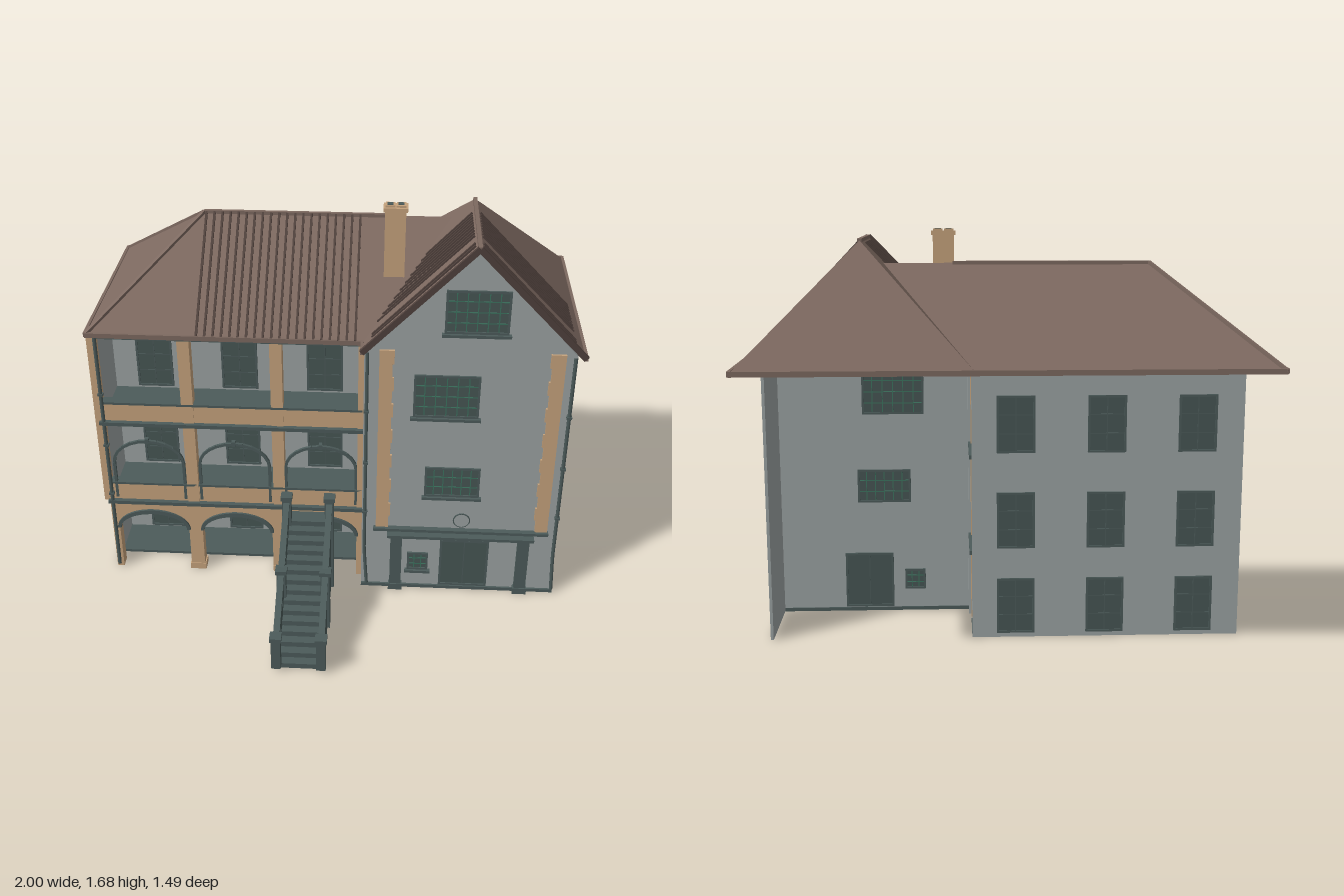
import * as THREE from 'three';

const mat = (name, color, side = THREE.FrontSide) => {
  const m = new THREE.MeshStandardMaterial({ color, side });
  m.name = name;
  return m;
};

export function createModel() {
  const root = new THREE.Group();
  root.name = 'house';
  const wall = mat('grey plaster', 0x9ca3a3);
  const tan = mat('tan stone', 0xc6a37d);
  const green = mat('dark green timber', 0x4c5b5a);
  const pane = mat('dark glass', 0x475654);
  const bar = mat('green glazing bar', 0x3d7460);
  const roofMat = mat('brown roof', 0x7d6960, THREE.DoubleSide);
  const ribMat = mat('dark brown rib', 0x4f413c);

  const add = (name, geo, m, parent = root) => {
    const mesh = new THREE.Mesh(geo, m);
    mesh.name = name;
    parent.add(mesh);
    return mesh;
  };
  // box given by its limits on each axis
  const box = (name, m, x0, x1, y0, y1, z0, z1, parent) => {
    const b = add(name, new THREE.BoxGeometry(x1 - x0, y1 - y0, z1 - z0), m, parent);
    b.position.set((x0 + x1) / 2, (y0 + y1) / 2, (z0 + z1) / 2);
    return b;
  };
  // straight bar between two points
  const beam = (name, m, a, b, w, h, parent) => {
    const A = new THREE.Vector3(...a), B = new THREE.Vector3(...b);
    const mesh = add(name, new THREE.BoxGeometry(w, h, A.distanceTo(B)), m, parent);
    mesh.position.copy(A).add(B).multiplyScalar(0.5);
    mesh.lookAt(B);
    return mesh;
  };
  const tube = (name, m, pts, r, parent) => {
    const path = new THREE.CurvePath();
    const v = pts.map(p => new THREE.Vector3(...p));
    for (let i = 1; i < v.length; i++) path.add(new THREE.LineCurve3(v[i - 1], v[i]));
    return add(name, new THREE.TubeGeometry(path, 24, r, 6), m, parent);
  };
  const polygon = pts => new THREE.Shape(pts.map(p => new THREE.Vector2(...p)));
  const extrude = (shape, depth) =>
    new THREE.ExtrudeGeometry(shape, { depth, bevelEnabled: false, curveSegments: 16 });
  const group = name => {
    const g = new THREE.Group();
    g.name = name;
    root.add(g);
    return g;
  };

  // framed window or door seen from both sides of a wall at depth z
  const windowAt = (name, x0, x1, y0, y1, z, cols, rows, barMat, sill) => {
    const g = group(name);
    const f = 0.009;
    box('pane', pane, x0, x1, y0, y1, z - 0.009, z + 0.009, g);
    for (const x of [x0, x1 - f]) box('frameSide', green, x, x + f, y0, y1, z - 0.014, z + 0.014, g);
    for (const y of [y0, y1 - f]) box('frameRail', green, x0, x1, y, y + f, z - 0.014, z + 0.014, g);
    for (let i = 1; i < cols; i++) {
      const x = x0 + (x1 - x0) * i / cols;
      box('glazingBar', barMat, x - 0.002, x + 0.002, y0 + f, y1 - f, z - 0.011, z + 0.011, g);
    }
    for (let i = 1; i < rows; i++) {
      const y = y0 + (y1 - y0) * i / rows;
      box('glazingBar', barMat, x0 + f, x1 - f, y - 0.002, y + 0.002, z - 0.011, z + 0.011, g);
    }
    if (sill) box('sill', green, x0 - 0.01, x1 + 0.01, y0 - 0.012, y0, z, z + 0.025, g);
  };

  // walls
  const gable = polygon([[0.13, 0], [0.965, 0], [0.965, 1.18], [0.555, 1.625], [0.13, 1.18]]);
  add('gableWall', extrude(gable, 0.012), wall).position.z = 0.154;
  box('rightWall', wall, 0.953, 0.965, 0, 1.2, -0.2, 0.155);
  box('leftWall', wall, -0.98, -0.968, 0, 1.18, -0.2, 0.06);
  box('backWall', wall, -0.98, 0.13, 0, 1.18, -0.2, -0.188);
  box('gableReturn', wall, 0.13, 0.14, 0, 1.18, 0.09, 0.155);
  box('wallFoot', green, 0.13, 0.97, 0, 0.015, 0.15, 0.175);

  // gable windows and door
  windowAt('atticWindow', 0.44, 0.69, 1.27, 1.455, 0.16, 6, 4, bar, true);
  windowAt('upperWindow', 0.33, 0.595, 0.885, 1.08, 0.16, 6, 4, bar, true);
  windowAt('middleWindow', 0.39, 0.62, 0.495, 0.64, 0.16, 6, 3, bar, true);
  windowAt('smallWindow', 0.33, 0.42, 0.1, 0.19, 0.16, 3, 3, bar, true);
  windowAt('entranceDoor', 0.47, 0.68, 0.02, 0.265, 0.16, 2, 1, green, false);

  // timber porch frame and corner stones on the gable
  for (const x of [0.255, 0.8]) {
    box('porchPost', green, x, x + 0.05, 0.02, 0.3, 0.165, 0.19);
    box('porchPostFoot', green, x - 0.005, x + 0.055, 0, 0.03, 0.165, 0.195);
  }
  box('porchBeam', green, 0.24, 0.865, 0.297, 0.31, 0.16, 0.215);
  box('porchLedge', green, 0.18, 0.925, 0.315, 0.328, 0.16, 0.19);
  for (const [x0, side] of [[0.19, 1], [0.86, -1]]) {
    const g = group('cornerStones');
    for (let i = 0; i < 14; i++) {
      const y = 0.328 + i * 0.0615, e = i % 2 ? 0 : 0.007;
      box('stone', tan, x0 + (side < 0 ? e : 0), x0 + 0.06 - (side > 0 ? e : 0), y, y + 0.0615, 0.165, 0.176, g);
    }
  }
  // round plaque
  add('plaqueRim', new THREE.TorusGeometry(0.034, 0.003, 6, 24), green).position.set(0.555, 0.37, 0.168);
  const disc = add('plaque', new THREE.CylinderGeometry(0.034, 0.034, 0.006, 24), wall);
  disc.rotation.x = Math.PI / 2;
  disc.position.set(0.555, 0.37, 0.167);

  // downpipes with brackets
  for (const [x, z, bend] of [[0.142, 0.172, 0.012], [0.956, 0.172, 0.008], [-0.962, 0.106, 0]]) {
    tube('downpipe', green, [[x, 1.18, z], [x, 0.2, z], [x + bend, 0.02, z + 0.004]], 0.008);
    for (const y of [0.4, 0.65, 0.9]) box('pipeBracket', green, x - 0.011, x + 0.011, y, y + 0.01, z - 0.01, z + 0.01);
  }

  // veranda: floors, arcade, parapets, pillars
  const bays = [-0.79, -0.42, -0.05];
  box('groundFloor', green, -0.975, 0.13, 0, 0.012, -0.19, 0.0);
  box('ceiling', green, -0.968, 0.13, 1.165, 1.18, -0.19, 0.105);
  const arcade = new THREE.Shape();
  arcade.moveTo(-0.975, 0);
  for (const x of bays) {
    arcade.lineTo(x - 0.155, 0);
    arcade.lineTo(x - 0.155, 0.22);
    arcade.absellipse(x, 0.22, 0.155, 0.09, Math.PI, 0, true);
    arcade.lineTo(x + 0.155, 0);
  }
  arcade.lineTo(0.13, 0);
  arcade.lineTo(0.13, 0.36);
  arcade.lineTo(-0.975, 0.36);
  arcade.closePath();
  add('arcade', extrude(arcade, 0.05), tan).position.z = 0.05;
  for (const y of [0.36, 0.763]) {
    box('balconyFloor', green, -0.98, 0.14, y - 0.006, y + 0.01, -0.19, 0.115);
    box('parapet', tan, -0.975, 0.13, y + 0.01, y + 0.09, 0.06, 0.095);
    box('parapetRail', green, -0.97, 0.125, y + 0.09, y + 0.1, 0.055, 0.1);
  }
  for (const x of [-0.605, -0.23]) {
    box('pillar', tan, x - 0.025, x + 0.025, 0.36, 1.17, 0.05, 0.1);
    box('pillarFoot', tan, x - 0.035, x + 0.035, 0, 0.03, 0.045, 0.103);
  }
  box('endPillar', tan, -0.998, -0.965, 0.365, 1.17, 0.05, 0.1);
  box('innerPillar', tan, 0.105, 0.13, 0.36, 1.17, 0.05, 0.1);

  for (const x of bays) {
    // arch trims
    const trim = new THREE.Shape();
    trim.absellipse(x, 0.22, 0.162, 0.1, 0, Math.PI, false);
    trim.absellipse(x, 0.22, 0.147, 0.08, Math.PI, 0, true);
    add('archTrim', extrude(trim, 0.02), green).position.z = 0.09;
    const pts = [[x - 0.15, 0.38, 0.09]];
    for (let i = 0; i <= 12; i++) {
      const a = Math.PI * (1 - i / 12);
      pts.push([x + 0.15 * Math.cos(a), 0.56 + 0.11 * Math.sin(a), 0.09]);
    }
    pts.push([x + 0.15, 0.38, 0.09]);
    const g = group('balconyArch');
    for (let i = 1; i < pts.length; i++) beam('archBar', green, pts[i - 1], pts[i], 0.012, 0.012, g);
    box('archKey', green, x - 0.008, x + 0.008, 0.662, 0.685, 0.08, 0.1, g);
    // three rows of doors and windows in the back wall
    for (const y of [0.02, 0.385, 0.785]) windowAt('rearWindow', x - 0.078, x + 0.078, y, y + 0.235, -0.194, 2, 3, green, false);
  }

  // outside stair; profiles are drawn in z and y, then turned
  const stair = group('stair');
  const side = (name, shape, x, depth) => {
    const m = add(name, extrude(shape, depth).rotateY(-Math.PI / 2), green, stair);
    m.position.x = x;
  };
  const n = 15, profile = [[0.12, 0], [0.71, 0]];
  for (let i = 0; i < n; i++) {
    const z = 0.71 - i * 0.037, y = (i + 1) * 0.0235;
    profile.push([z, y], [i === n - 1 ? 0.12 : z - 0.037, y]);
  }
  side('steps', polygon(profile), -0.015, 0.17);
  for (const x of [0.0, -0.18]) {
    const s = polygon([[0.165, 0], [0.72, 0], [0.72, 0.135], [0.18, 0.455], [0.165, 0.455]]);
    for (const [z, y] of [[0.64, 0.132], [0.545, 0.19], [0.375, 0.295], [0.28, 0.353]])
      s.holes.push(polygon([[z - 0.015, y - 0.004], [z + 0.015, y - 0.022], [z + 0.015, y + 0.004], [z - 0.015, y + 0.022]]));
    side('stairSide', s, x, 0.016);
  }
  for (const x of [-0.19, -0.008]) {
    beam('handrail', green, [x, 0.14, 0.72], [x, 0.455, 0.18], 0.026, 0.012, stair);
    for (const [z, y0, y1] of [[0.722, 0.02, 0.175], [0.455, 0.01, 0.3], [0.18, 0, 0.475]]) {
      box('stairPost', green, x - 0.019, x + 0.019, y0, y1, z - 0.018, z + 0.018, stair);
      box('postCap', green, x - 0.024, x + 0.024, y1 - 0.012, y1 + 0.006, z - 0.023, z + 0.023, stair);
    }
  }

  // roof planes
  const E = 1.19, M = 1.555, T = 1.64;
  const roof = group('roof');
  const plane = (name, ...p) => {
    const g = new THREE.BufferGeometry();
    const idx = p.length === 4 ? [0, 1, 2, 0, 2, 3] : [0, 1, 2];
    g.setAttribute('position', new THREE.Float32BufferAttribute(idx.flatMap(i => p[i]), 3));
    g.computeVertexNormals();
    add(name, g, roofMat, roof);
  };
  const fl = [-0.995, E, 0.12], bl = [-0.995, E, -0.74], rl = [-0.555, M, -0.31], rr = [0.465, M, -0.31];
  const fm = [0.12, E, 0.12], bm = [0.12, E, -0.74], br = [0.992, E, -0.74];
  const gl = [0.12, E, 0.2], gr = [0.992, E, 0.2], gf = [0.555, T, 0.2], gb = [0.555, T, -0.3];
  plane('mainFrontSlope', fl, fm, rr, rl);
  plane('mainLeftHip', bl, fl, rl);
  plane('mainBackSlope', bm, bl, rl, rr);
  plane('gableLeftSlope', bm, gl, gf, gb);
  plane('gableRightSlope', gr, br, gb, gf);
  plane('gableBackHip', br, bm, gb);

  // eaves, hips and ridges
  for (const [a, b] of [[fl, fm], [fl, bl], [bl, br], [gr, br], [gl, fm]]) beam('eave', roofMat, a, b, 0.012, 0.02, roof);
  for (const [a, b] of [[rl, [0.2, M, -0.31]], [fl, rl], [bl, rl], [gf, gb]]) beam('ridgeCap', roofMat, a, b, 0.016, 0.014, roof);
  for (const a of [gl, gr]) beam('bargeBoard', ribMat, a, gf, 0.014, 0.024, roof);
  box('gutter', ribMat, -0.99, 0.13, 1.178, 1.19, 0.1, 0.122, roof);

  // raised roof ribs
  for (let i = 0; i < 20; i++) {
    const x = -0.545 + i * 0.0335;
    beam('mainRib', ribMat, [x, M, -0.305], [x, E + 0.005, 0.118], 0.009, 0.014, roof);
  }
  const slope = (T - E) / 0.436;
  for (const z of [0.145, 0.122, 0.05, 0.025, 0, -0.028, -0.055, -0.08, -0.105, -0.13, -0.155, -0.178]) {
    const low = 1.23, lowLeft = Math.max(low, E + (0.12 - z) * 0.85);
    beam('gableRib', ribMat, [0.57, T - 0.012, z], [0.991 - (low - E) / slope, low, z], 0.009, 0.01, roof);
    beam('gableRib', ribMat, [0.54, T - 0.012, z], [0.12 + (lowLeft - E) / slope, lowLeft, z], 0.009, 0.01, roof);
  }

  // chimney
  const chimney = group('chimney');
  box('stack', tan, 0.195, 0.278, 1.36, 1.665, -0.152, -0.1, chimney);
  box('cap', tan, 0.188, 0.285, 1.655, 1.672, -0.157, -0.095, chimney);
  for (const x of [0.215, 0.258]) {
    box('flueRim', tan, x - 0.019, x + 0.019, 1.67, 1.68, -0.146, -0.106, chimney);
    box('flueHole', green, x - 0.012, x + 0.012, 1.675, 1.682, -0.139, -0.113, chimney);
  }
  return root;
}
